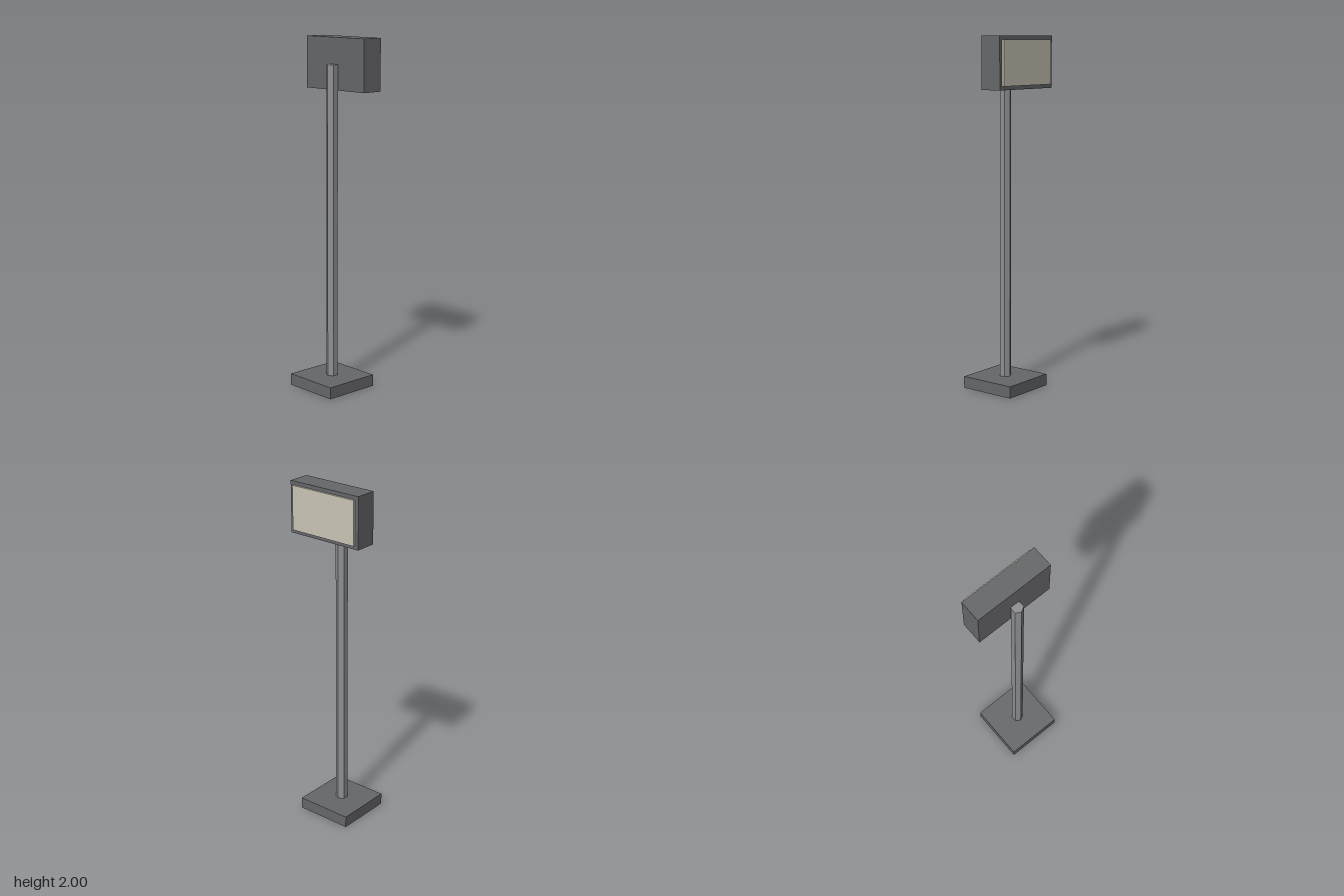
import * as THREE from 'three';

const darkMetal = new THREE.MeshStandardMaterial({ color: 0x66676a });
darkMetal.name = 'dark grey metal';
const poleMetal = new THREE.MeshStandardMaterial({ color: 0x8f9094, flatShading: true });
poleMetal.name = 'light grey metal';
const lens = new THREE.MeshStandardMaterial({ color: 0xcac5b5 });
lens.name = 'cream lens';

// Box given by its lower and upper corners
function box(name, material, [x0, y0, z0], [x1, y1, z1]) {
  const mesh = new THREE.Mesh(new THREE.BoxGeometry(x1 - x0, y1 - y0, z1 - z0), material);
  mesh.position.set((x0 + x1) / 2, (y0 + y1) / 2, (z0 + z1) / 2);
  mesh.name = name;
  return mesh;
}

export function createModel() {
  const model = new THREE.Group();
  model.name = 'floodlight';

  // Square foot
  model.add(box('base', darkMetal, [-0.168, 0, -0.168], [0.168, 0.067, 0.168]));

  // Six-sided pole with corners on the x axis, set into the foot
  const bottom = 0.01, top = 1.852;
  const pole = new THREE.Mesh(new THREE.CylinderGeometry(0.0335, 0.0335, top - bottom, 6), poleMetal);
  pole.rotation.y = Math.PI / 6;
  pole.position.y = (bottom + top) / 2;
  pole.name = 'pole';
  model.add(pole);

  // Lamp housing and its lens, facing +x
  model.add(box('lampHousing', darkMetal, [0.021, 1.709, -0.231], [0.147, 2, 0.231]));
  model.add(box('lampLens', lens, [0.14, 1.73, -0.21], [0.159, 1.979, 0.21]));

  return model;
}
